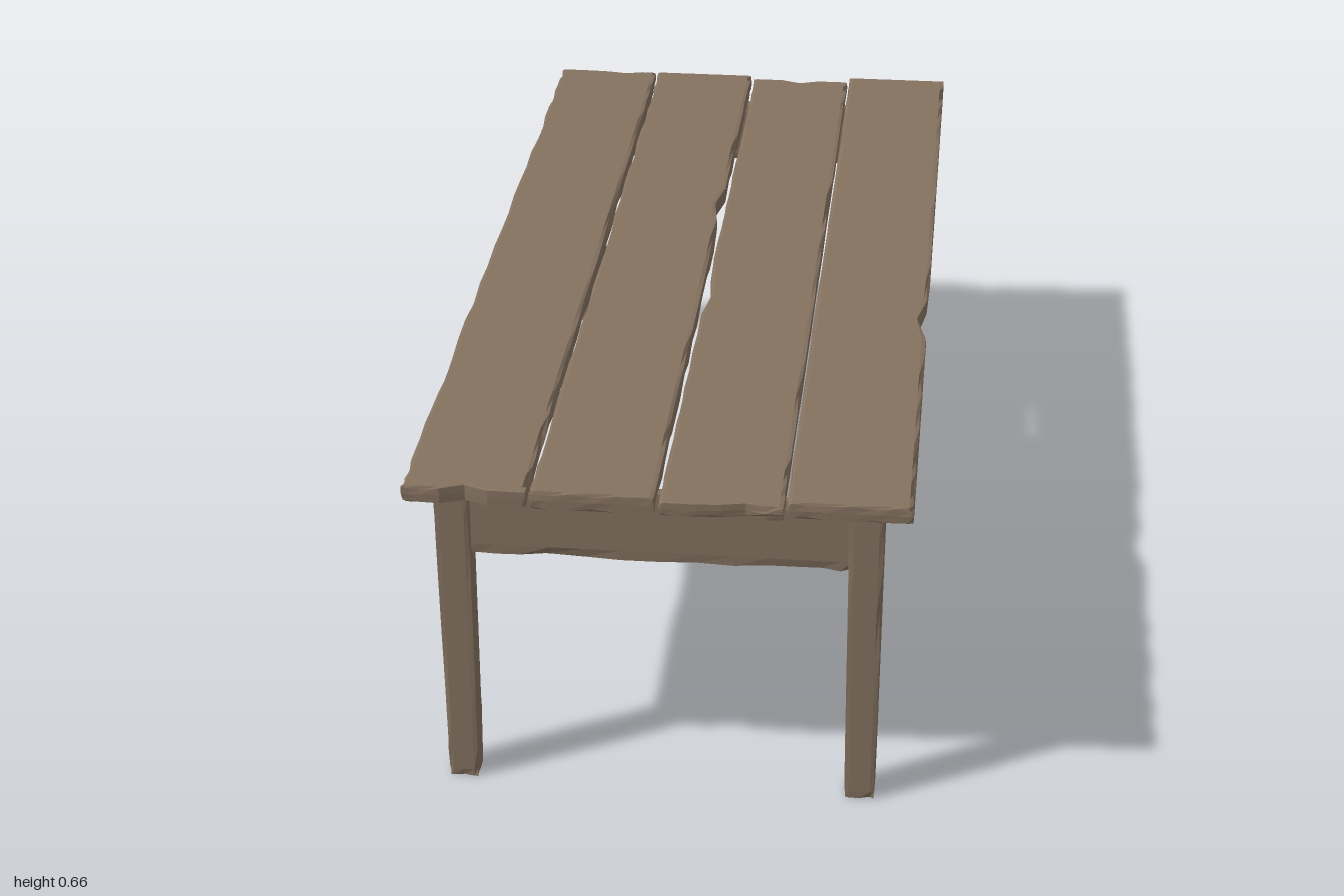
import * as THREE from 'three';

const wood = new THREE.MeshStandardMaterial({ color: 0x857260, flatShading: true });
wood.name = 'weathered wood';

// repeatable random value for a point on a part
function hash(a, b, c, seed) {
  const s = Math.sin(a * 12.9898 + b * 78.233 + c * 37.719 + seed * 4.137) * 43758.5453;
  return s - Math.floor(s);
}

// Board with chipped edges. min/max are corners, segs the divisions, chip the largest wear
// per axis. Each notch is [axis, side, alongAxis, position, halfWidth, depth].
function wornBoard(name, min, max, segs, chip, seed, notches = [], taper = 1) {
  const geo = new THREE.BoxGeometry(2, 2, 2, ...segs);
  const pos = geo.attributes.position;
  const half = min.map((m, i) => (max[i] - m) / 2);
  const mid = min.map((m, i) => (max[i] + m) / 2);
  for (let i = 0; i < pos.count; i++) {
    const u = [pos.getX(i), pos.getY(i), pos.getZ(i)].map(v => Math.round(v * 1000) / 1000 + 0);
    // divisions gather near the edges
    const p = u.map((v, k) => mid[k] + half[k] * Math.sin(v * Math.PI / 2));
    const outer = u.map(v => Math.abs(v) === 1);
    // wear on edges and corners
    if (outer.filter(Boolean).length > 1) {
      const wear = 0.15 + 0.85 * hash(...u, seed) ** 3;
      for (let k = 0; k < 3; k++) {
        if (outer[k]) p[k] -= u[k] * chip[k] * wear * (0.5 + 0.5 * hash(...u, seed + k + 1));
      }
    }
    // deeper notches that fade into the board
    for (const [axis, side, along, at, width, depth] of notches) {
      const inside = Math.abs((side > 0 ? max[axis] : min[axis]) - p[axis]);
      const near = Math.max(0, 1 - Math.abs(p[along] - at) / width);
      p[axis] -= side * depth * near * Math.max(0, 1 - inside / 0.08);
    }
    // narrower toward the foot
    const t = taper + (1 - taper) * (u[1] + 1) / 2;
    p[0] = mid[0] + (p[0] - mid[0]) * t;
    p[2] = mid[2] + (p[2] - mid[2]) * (1 + t) / 2;
    pos.setXYZ(i, ...p);
  }
  geo.computeVertexNormals();
  const mesh = new THREE.Mesh(geo, wood);
  mesh.name = name;
  return mesh;
}

export function createModel() {
  const table = new THREE.Group();
  table.name = 'plankTable';

  // four top planks: x from, x to, bottom, top, notches
  const planks = [
    [-0.455, -0.231, 0.627, 0.66, [[2, -1, 0, -0.31, 0.04, 0.014], [2, 1, 0, -0.34, 0.04, 0.018]]],
    [-0.226, -0.003, 0.625, 0.661, [[0, 1, 2, -0.25, 0.09, 0.016]]],
    [0.003, 0.225, 0.625, 0.653, [[0, -1, 2, 0.16, 0.09, 0.014],
      [2, -1, 0, 0.11, 0.04, 0.018], [2, 1, 0, 0.145, 0.04, 0.016]]],
    [0.229, 0.452, 0.632, 0.664, [[0, 1, 2, 0.25, 0.09, 0.015]]],
  ];
  planks.forEach(([x0, x1, y0, y1, notches], i) => {
    table.add(wornBoard('topPlank' + (i + 1), [x0, y0, -1], [x1, y1, 1],
      [8, 2, 36], [0.008, 0.012, 0.003], 11 + i * 7, notches));
  });

  // tapered legs
  for (const [side, x] of [['left', 0.369], ['right', -0.377]]) {
    for (const [end, z] of [['front', 0.915], ['back', -0.902]]) {
      table.add(wornBoard(`${end}${side === 'left' ? 'Left' : 'Right'}Leg`,
        [x - 0.033, 0, z - 0.031], [x + 0.033, 0.63, z + 0.031],
        [4, 10, 4], [0.006, 0.004, 0.006], x * 50 + z * 20, [], 0.83));
    }
  }

  // end aprons, with small nicks along the lower edge
  for (const [name, z] of [['frontApron', 0.92], ['backApron', -0.907]]) {
    table.add(wornBoard(name, [-0.36, 0.487, z - 0.013], [0.35, 0.63, z + 0.013],
      [16, 4, 2], [0.003, 0.009, 0.007], z * 9));
  }

  // side aprons
  for (const [name, x] of [['leftApron', 0.38], ['rightApron', -0.388]]) {
    table.add(wornBoard(name, [x - 0.013, 0.487, -0.885], [x + 0.013, 0.63, 0.9],
      [2, 4, 28], [0.007, 0.009, 0.003], x * 30));
  }
  return table;
}
